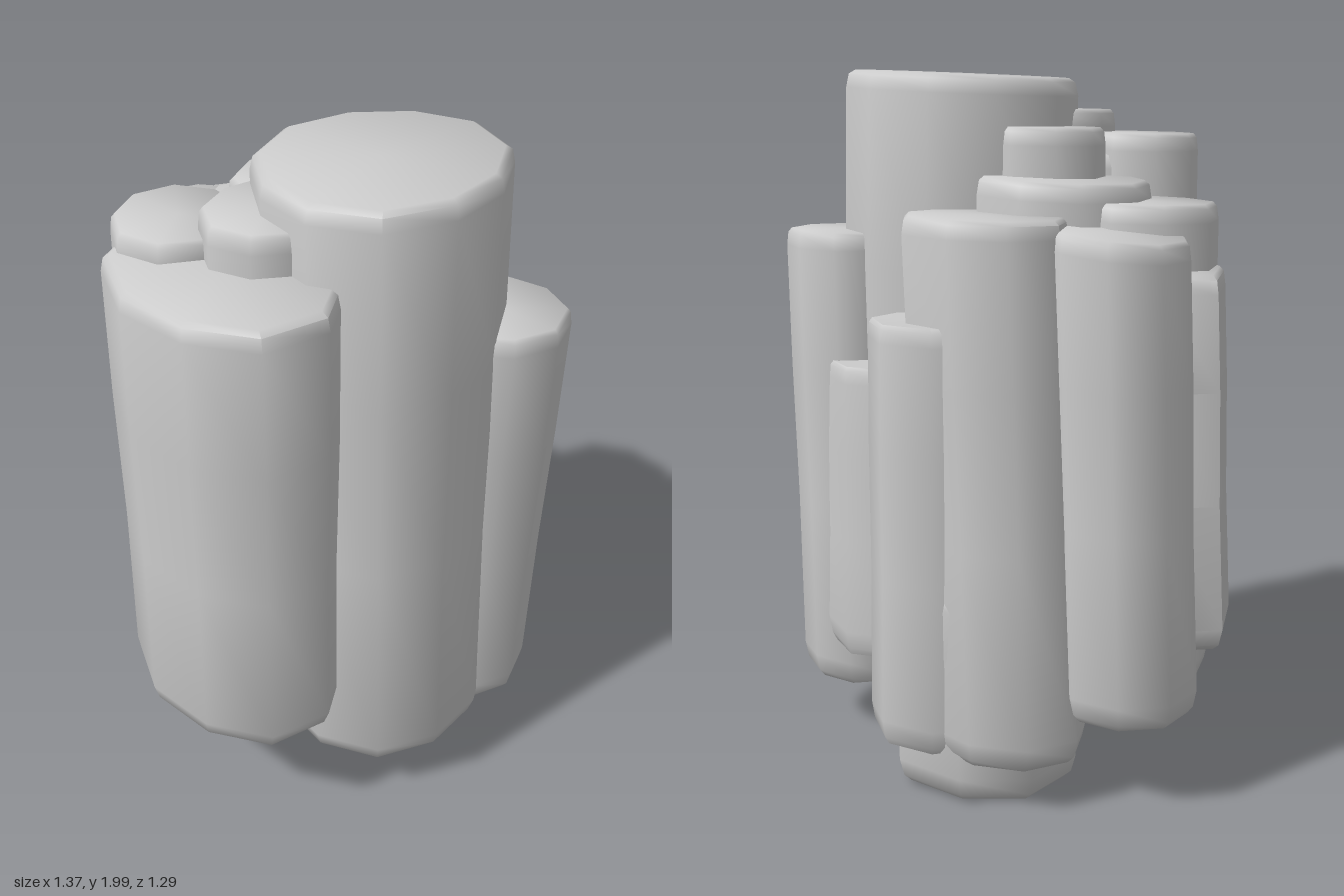
import * as THREE from 'three';
import { toCreasedNormals } from 'three/addons/utils/BufferGeometryUtils.js';

// One weathered stone column: rounded polygon in plan, chamfered and sloping ends.
// centre and radii are [x, z] at the top; lean shifts the bottom end.
function columnGeometry({ centre, radii, height, sides = 9, turn = 0, lean = [0, 0], tilt = 0.02 }) {
  const [bottom, top] = height;
  const positions = [];
  const index = [];
  const addRing = (t, offset, scale) => {
    for (let i = 0; i < sides; i++) {
      const a = ((i + 0.5) / sides) * Math.PI * 2;
      // uneven facets, slightly fuller than an ellipse
      const r = scale * (1.03 + 0.03 * Math.sin(3 * a + centre[0] * 20));
      const u = radii[0] * r * Math.cos(a);
      const v = radii[1] * r * Math.sin(a);
      const dx = u * Math.cos(turn) - v * Math.sin(turn);
      const dz = u * Math.sin(turn) + v * Math.cos(turn);
      const slope = dx * THREE.MathUtils.lerp(0.03, tilt, t);
      positions.push(
        centre[0] + dx + lean[0] * (1 - t),
        THREE.MathUtils.lerp(bottom, top, t) + offset + slope,
        centre[1] + dz + lean[1] * (1 - t),
      );
    }
  };
  // rings from the bottom centre up to the top centre
  addRing(0, 0, 0);
  addRing(0, 0, 0.87);
  addRing(0, 0.02, 0.95);
  addRing(0, 0.07, 1);
  addRing(0.4, 0, 0.985);
  addRing(0.7, 0, 1.005);
  addRing(1, -0.05, 1);
  addRing(1, -0.012, 0.975);
  addRing(1, 0, 0.92);
  addRing(1, 0, 0);

  const last = positions.length / 3 - sides;
  for (let row = 0; row < last; row += sides) {
    for (let i = 0; i < sides; i++) {
      const a = row + i;
      const b = row + ((i + 1) % sides);
      if (row < last - sides) index.push(a, a + sides, b + sides);
      if (row > 0) index.push(a, b + sides, b);
    }
  }
  const geometry = new THREE.BufferGeometry();
  geometry.setAttribute('position', new THREE.Float32BufferAttribute(positions, 3));
  geometry.setIndex(index);
  return toCreasedNormals(geometry, 0.95);
}

export function createModel() {
  const group = new THREE.Group();
  group.name = 'rockColumnCluster';
  const stone = new THREE.MeshStandardMaterial({ color: 0xcccccc });
  const add = (name, shape) => {
    const mesh = new THREE.Mesh(columnGeometry(shape), stone);
    mesh.name = name;
    group.add(mesh);
  };

  // large front and left columns
  add('tallColumn', { centre: [0.255, -0.03], radii: [0.325, 0.333], height: [0.145, 1.98], sides: 11, lean: [0.06, 0], tilt: 0.05 });
  add('frontColumn', { centre: [0.08, 0.36], radii: [0.36, 0.285], height: [0.36, 1.765], sides: 10, turn: 0.3, lean: [0.015, 0], tilt: 0.03 });
  add('backLeftColumn', { centre: [0.495, -0.265], radii: [0.18, 0.19], height: [0.165, 1.53], turn: 0.35, lean: [-0.03, -0.01] });

  // stepped columns between the tall one and the right side
  add('frontRightColumn', { centre: [-0.14, 0.31], radii: [0.18, 0.18], height: [0.2, 1.81] });
  add('innerFrontColumn', { centre: [0.1, 0.22], radii: [0.17, 0.18], height: [0.2, 1.88] });
  add('innerColumn', { centre: [-0.02, -0.02], radii: [0.19, 0.17], height: [0.07, 1.83] });
  add('innerBackColumn', { centre: [-0.14, -0.06], radii: [0.24, 0.26], height: [0.2, 1.69], tilt: 0.05 });

  // right side columns
  add('innerRightColumn', { centre: [-0.35, 0.02], radii: [0.21, 0.2], height: [0.27, 1.63] });
  add('rightColumn', { centre: [-0.35, 0.07], radii: [0.32, 0.19], height: [0.41, 1.46], sides: 8, turn: 0.64, lean: [-0.04, 0], tilt: 0.05 });
  add('backRightColumn', { centre: [-0.415, -0.19], radii: [0.19, 0.205], height: [0.25, 1.56], turn: 0.35, lean: [-0.06, -0.02], tilt: 0.12 });

  // back columns and the foot
  add('backColumn', { centre: [-0.1, -0.36], radii: [0.24, 0.21], height: [0.13, 1.6], lean: [-0.085, -0.03] });
  add('rearColumn', { centre: [0, -0.49], radii: [0.18, 0.135], height: [0.14, 1.32], sides: 7, lean: [0, -0.02] });
  add('slimBackColumn', { centre: [0.31, -0.375], radii: [0.16, 0.115], height: [0.3, 1.16], sides: 6, lean: [0, -0.02] });
  add('footStub', { centre: [-0.075, -0.35], radii: [0.265, 0.25], height: [0.007, 0.6], sides: 8 });
  return group;
}
